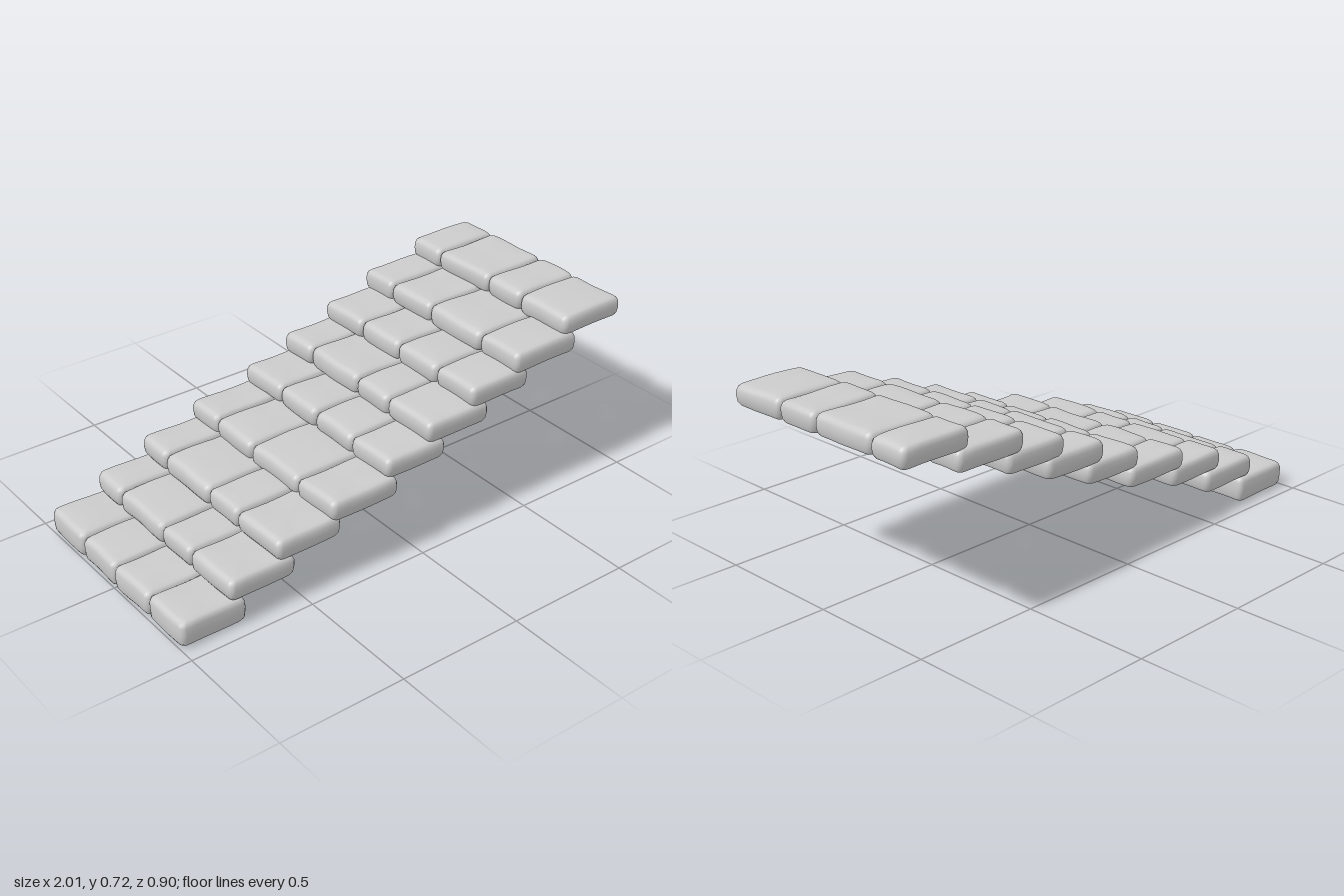
import * as THREE from 'three';

const material = new THREE.MeshStandardMaterial({ color: 0xcccccc, side: THREE.DoubleSide });

// Joint positions across the width, reused by several courses
const JOINTS = {
  a: [0.44, 0.223, 0.003, -0.217, -0.443],
  b: [0.44, 0.19, 0.005, -0.277, -0.443],
  c: [0.448, 0.235, -0.052, -0.279, -0.45],
};

// Each step: x from, x to, y bottom, y top, joint pattern
const STEPS = [
  [-1.0, -0.73, 0.004, 0.104, 'a'],
  [-0.8, -0.52, 0.104, 0.187, 'b'],
  [-0.6, -0.32, 0.186, 0.267, 'b'],
  [-0.37, -0.07, 0.256, 0.336, 'c'],
  [-0.12, 0.15, 0.331, 0.41, 'a'],
  [0.07, 0.35, 0.407, 0.489, 'b'],
  [0.27, 0.54, 0.483, 0.564, 'a'],
  [0.47, 0.77, 0.558, 0.64, 'c'],
  [0.71, 1.0, 0.634, 0.713, 'b'],
];

// Gentle hewn-stone unevenness, different for every seed
const wobble = (u, v, w, seed) =>
  0.5 * Math.sin(u * 23 + seed * 1.7) + 0.3 * Math.sin(v * 31 + seed * 2.9 + u * 9) +
  0.2 * Math.sin(w * 47 + seed * 4.3 + v * 17);

// Rounded rectangle, anticlockwise from above, with points along its sides
function outline(hx, hz, r) {
  const corners = [[1, 1], [-1, 1], [-1, -1], [1, -1]];
  const pts = [];
  corners.forEach(([sx, sz], i) => {
    for (let k = 0; k <= 3; k++) {
      const a = (i + k / 3) * Math.PI / 2;
      pts.push([sx * (hx - r) + r * Math.cos(a), -(sz * (hz - r) + r * Math.sin(a))]);
    }
    const [nx, nz] = corners[(i + 1) % 4];
    const a = (i + 1) * Math.PI / 2;
    const start = pts[pts.length - 1];
    const end = [nx * (hx - r) + r * Math.cos(a), -(nz * (hz - r) + r * Math.sin(a))];
    for (let k = 1; k < 5; k++) {
      pts.push([0, 1].map((j) => THREE.MathUtils.lerp(start[j], end[j], k / 5)));
    }
  });
  return pts;
}

// Hollow stone block: stacked outlines, rounded top, open underneath
function stoneGeometry(w, h, d, seed) {
  // inset from the side, height
  const rings = [
    [0.01, 0], [0.003, 0.012], [0, h * 0.45], [0.001, h - 0.024],
    [0.006, h - 0.011], [0.014, h - 0.004], [0.03, h - 0.001], [0.07, h],
  ];
  const positions = [];
  const indices = [];
  let count = 0;
  rings.forEach(([inset, y], row) => {
    const ring = outline(w / 2 - inset, d / 2 - inset, Math.max(0.022 - inset * 0.2, 0.006));
    count = ring.length;
    ring.forEach(([x, z], i) => {
      const s = 1 + 0.03 * wobble(z, x, y, seed);
      const dy = (row === 0 ? 0.004 : 0.003) * wobble(x, z, y, seed + 5);
      positions.push(x * s, y + dy, z * (1 + 0.025 * wobble(x, y, z, seed + 9)));
      if (row > 0) {
        const j = (i + 1) % count;
        const lo = (row - 1) * count;
        const hi = row * count;
        indices.push(lo + i, lo + j, hi + j, lo + i, hi + j, hi + i);
      }
    });
  });
  // Close the top
  const centre = positions.length / 3;
  positions.push(0, h, 0);
  const last = (rings.length - 1) * count;
  for (let i = 0; i < count; i++) indices.push(centre, last + i, last + (i + 1) % count);

  const geometry = new THREE.BufferGeometry();
  geometry.setAttribute('position', new THREE.Float32BufferAttribute(positions, 3));
  geometry.setIndex(indices);
  geometry.computeVertexNormals();
  return geometry;
}

export function createModel() {
  const model = new THREE.Group();
  model.name = 'stoneStairs';
  STEPS.forEach(([x0, x1, y0, y1, pattern], s) => {
    const step = new THREE.Group();
    step.name = `step${s + 1}`;
    step.position.set((x0 + x1) / 2, y0, 0);
    const joints = JOINTS[pattern];
    for (let i = 0; i < joints.length - 1; i++) {
      const depth = joints[i] - joints[i + 1];
      const stone = new THREE.Mesh(stoneGeometry(x1 - x0, y1 - y0, depth, s * 4 + i + 1), material);
      stone.name = `stone${i + 1}`;
      stone.position.z = (joints[i] + joints[i + 1]) / 2;
      step.add(stone);
    }
    model.add(step);
  });
  return model;
}
